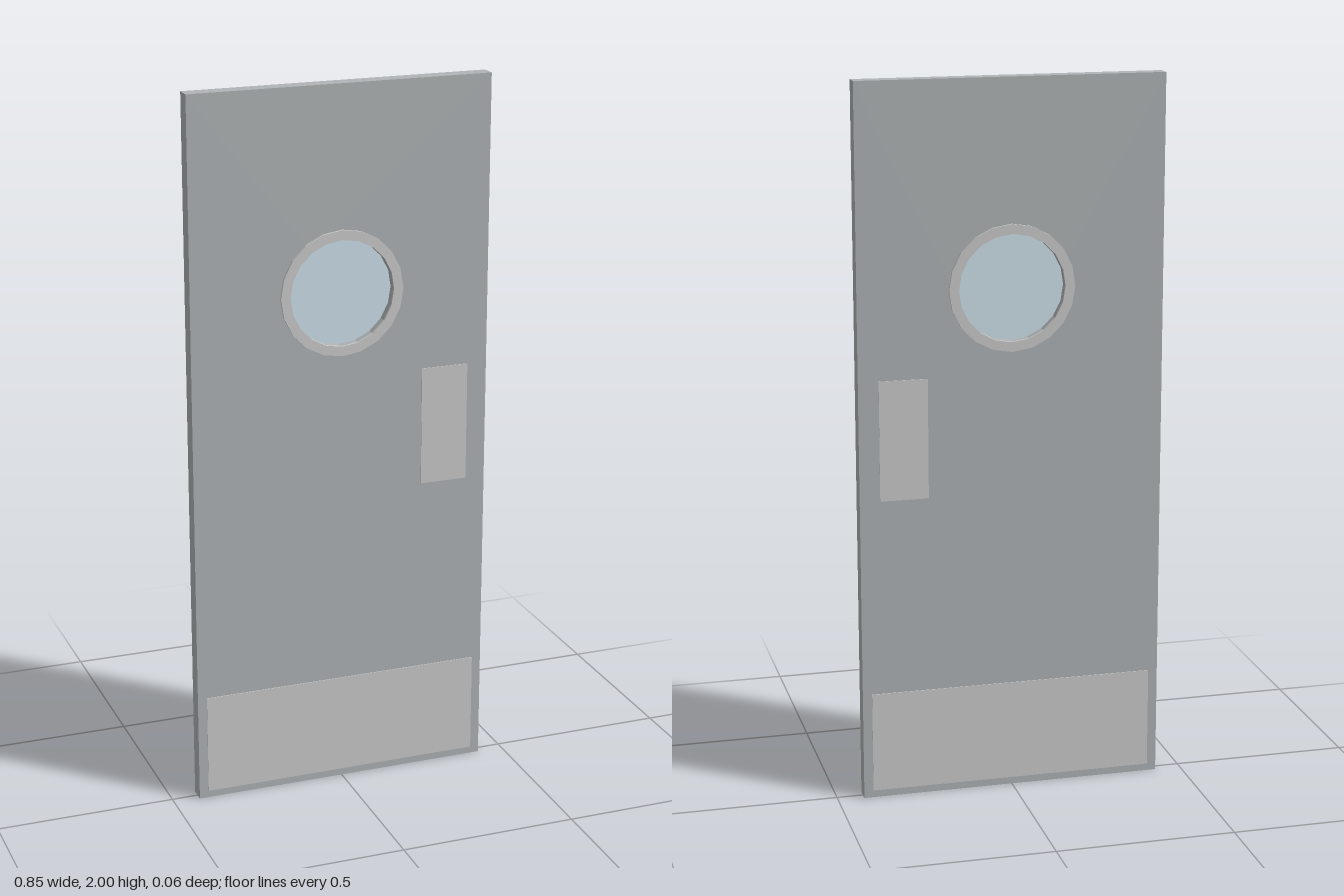
import * as THREE from 'three';

const HALF_W = 0.426, HEIGHT = 2, HALF_T = 0.0225;
const WINDOW_Y = 1.433, HOLE_R = 0.148, RING_R = 0.175;
const PLATE_T = 0.002, RING_T = 0.007;

const material = (color) => new THREE.MeshStandardMaterial({ color, flatShading: true });

function addMesh(parent, name, geometry, mat, x = 0, y = 0, z = 0) {
  const mesh = new THREE.Mesh(geometry, mat);
  mesh.name = name;
  mesh.position.set(x, y, z);
  parent.add(mesh);
  return mesh;
}

// 20-sided round hole
function roundHole(y) {
  const hole = new THREE.Path();
  hole.absarc(0, y, HOLE_R, 0, Math.PI * 2, true);
  return hole;
}

const extrude = (shape, depth) =>
  new THREE.ExtrudeGeometry(shape, { depth, bevelEnabled: false, curveSegments: 10 });

export function createModel() {
  const door = new THREE.Group();
  door.name = 'door';
  const panelMat = material(0xb0b4b6);
  const plateMat = material(0xcccccc);
  const glassMat = material(0xcfe2ec);

  // Door panel with porthole opening
  const outline = new THREE.Shape([
    new THREE.Vector2(-HALF_W, 0), new THREE.Vector2(HALF_W, 0),
    new THREE.Vector2(HALF_W, HEIGHT), new THREE.Vector2(-HALF_W, HEIGHT),
  ]);
  outline.holes.push(roundHole(WINDOW_Y));
  addMesh(door, 'panel', extrude(outline, HALF_T * 2), panelMat, 0, 0, -HALF_T);

  // Glass pane in the middle of the opening
  const glass = new THREE.CylinderGeometry(HOLE_R, HOLE_R, 0.006, 20);
  glass.rotateX(Math.PI / 2);
  addMesh(door, 'glass', glass, glassMat, 0, WINDOW_Y, 0);

  // Window ring, push plate and kick plate on both faces
  const ringShape = new THREE.Shape();
  ringShape.absarc(0, 0, RING_R, 0, Math.PI * 2, false);
  ringShape.holes.push(roundHole(0));
  const ring = extrude(ringShape, RING_T).translate(0, 0, -RING_T / 2);
  const pushPlate = new THREE.BoxGeometry(0.135, 0.335, PLATE_T);
  const kickPlate = new THREE.BoxGeometry(0.8, 0.285, PLATE_T);
  for (const [label, side] of [['front', 1], ['back', -1]]) {
    const plateZ = side * (HALF_T + PLATE_T / 2);
    addMesh(door, `${label}WindowRing`, ring, plateMat, 0, WINDOW_Y, side * (HALF_T + RING_T / 2));
    addMesh(door, `${label}PushPlate`, pushPlate, plateMat, 0.302, 1.028, plateZ);
    addMesh(door, `${label}KickPlate`, kickPlate, plateMat, 0, 0.163, plateZ);
  }
  return door;
}
